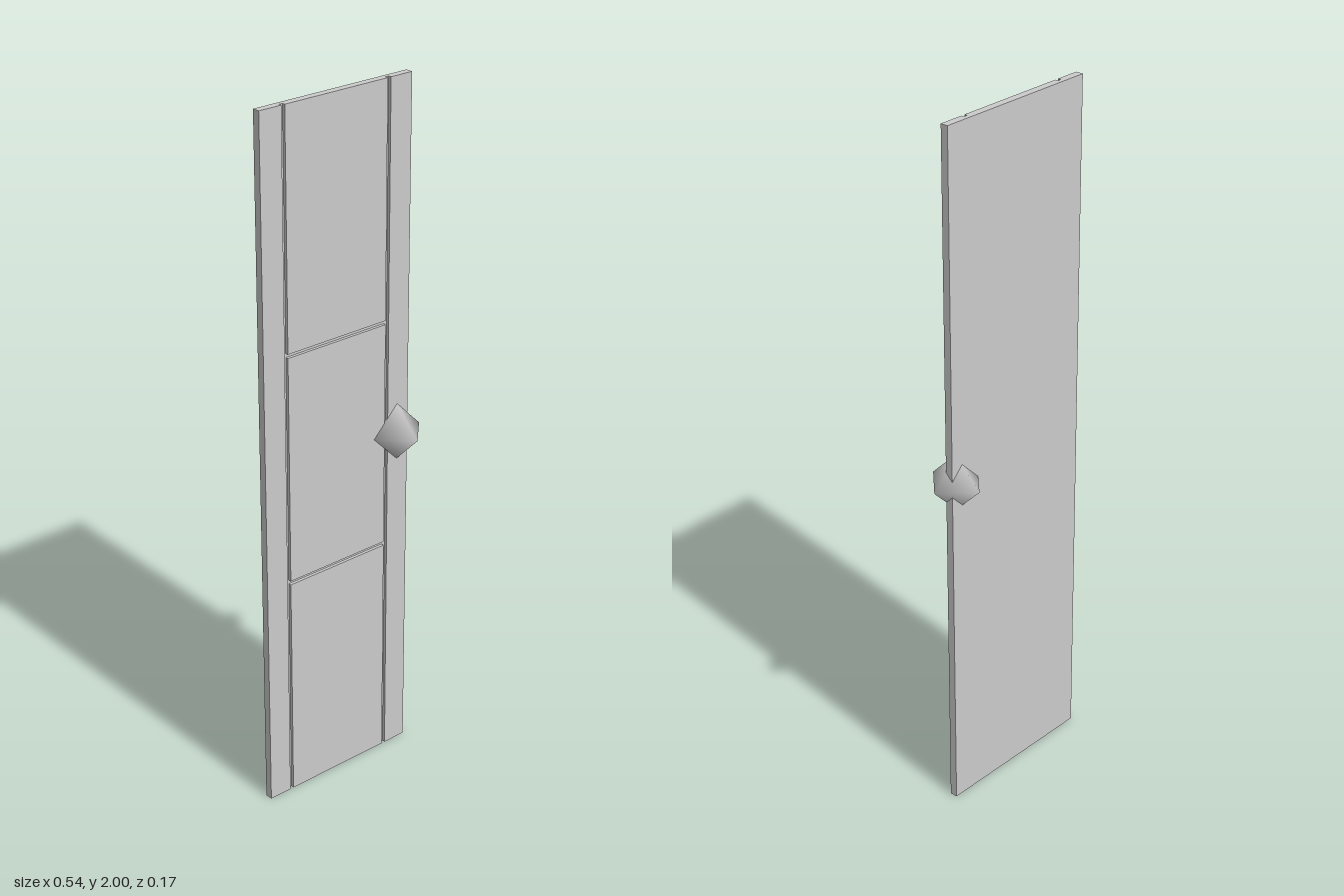
import * as THREE from 'three';

export function createModel() {
  const model = new THREE.Group();
  const material = new THREE.MeshStandardMaterial({ color: 0xcccccc });

  // Box given by its limits on each axis
  function slab(name, x0, x1, y0, y1, z0, z1) {
    const mesh = new THREE.Mesh(new THREE.BoxGeometry(x1 - x0, y1 - y0, z1 - z0), material);
    mesh.position.set((x0 + x1) / 2, (y0 + y1) / 2, (z0 + z1) / 2);
    mesh.name = name;
    model.add(mesh);
  }

  const left = -0.273, right = 0.227, height = 2;
  const back = -0.022, grooveFloor = -0.009, groove = 0.011;
  const grooveLeft = -0.203, grooveRight = 0.144; // lower x of each upright groove

  // Solid board behind the grooves
  slab('doorBoard', left, right, 0, height, back, grooveFloor);

  // Plain stiles along both sides
  slab('rightStile', left, grooveLeft, 0, height, grooveFloor, 0);
  slab('leftStile', grooveRight + groove, right, 0, height, grooveFloor, 0);

  // Three panels parted by level grooves
  for (let i = 0; i < 3; i++) {
    const y0 = i === 0 ? 0 : (i * height) / 3 + groove / 2;
    const y1 = i === 2 ? height : ((i + 1) * height) / 3 - groove / 2;
    slab('panel' + (i + 1), grooveLeft + groove, grooveRight, y0, y1, grooveFloor, 0);
  }

  // Eight-sided knob passing through the door, softly shaded
  const knob = new THREE.Mesh(new THREE.SphereGeometry(0.083, 4, 2), material);
  knob.name = 'doorKnob';
  knob.position.set(0.189, 1, 0);
  model.add(knob);

  return model;
}
